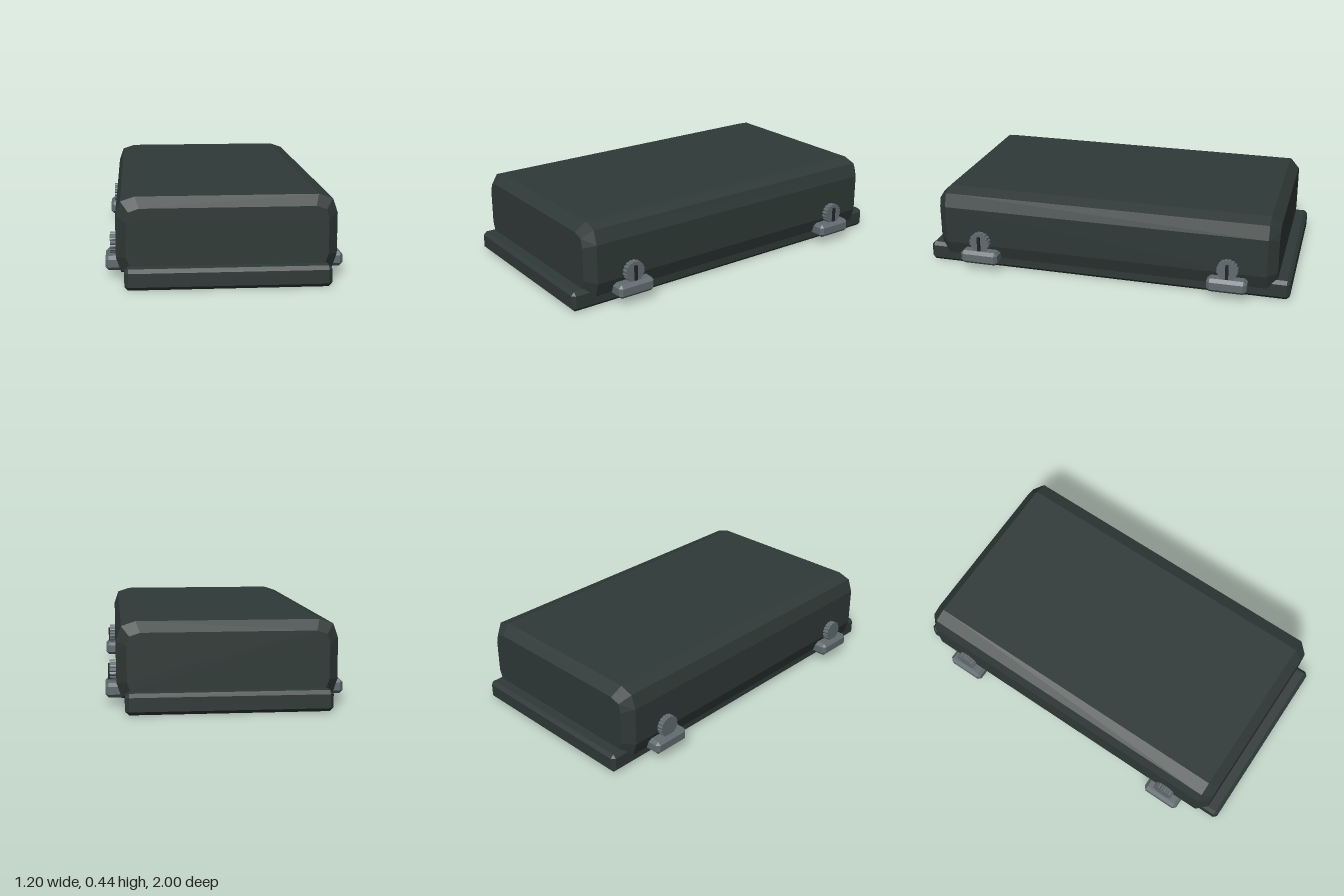
import * as THREE from 'three';
import { ConvexGeometry } from 'three/addons/geometries/ConvexGeometry.js';

const make = (name, color) => new THREE.MeshStandardMaterial({ name, color });

// Box with every edge chamfered by c
function chamferBox(w, h, d, c) {
  const pts = [];
  for (const sx of [-1, 1]) for (const sy of [-1, 1]) for (const sz of [-1, 1]) {
    const x = w / 2, y = h / 2, z = d / 2;
    pts.push(
      new THREE.Vector3(sx * x, sy * (y - c), sz * (z - c)),
      new THREE.Vector3(sx * (x - c), sy * y, sz * (z - c)),
      new THREE.Vector3(sx * (x - c), sy * (y - c), sz * z));
  }
  return new ConvexGeometry(pts);
}

// Housing: a full section along the length, a smaller one at each end
function housingGeometry() {
  const full = [[0.45, 0.44], [0.52, 0.417], [0.545, 0.345], [0.545, 0.14], [0.52, 0.065]];
  const end = [[0.43, 0.39], [0.482, 0.373], [0.495, 0.325], [0.495, 0.15], [0.478, 0.105]];
  const pts = [];
  for (const [section, z] of [[full, 0.88], [end, 0.932]])
    for (const [x, y] of section)
      for (const sx of [-1, 1]) for (const sz of [-1, 1])
        pts.push(new THREE.Vector3(sx * x, y, sz * z));
  return new ConvexGeometry(pts);
}

// Knurled disc facing +x
function knobGeometry() {
  const shape = new THREE.Shape();
  const teeth = 16;
  for (let i = 0; i < teeth * 3; i++) {
    const a = (i / (teeth * 3)) * Math.PI * 2;
    const r = i % 3 === 0 ? 0.051 : 0.056;
    shape[i ? 'lineTo' : 'moveTo'](Math.cos(a) * r, Math.sin(a) * r);
  }
  return new THREE.ExtrudeGeometry(shape, { depth: 0.06, bevelEnabled: false }).rotateY(Math.PI / 2);
}

export function createModel() {
  const model = new THREE.Group();
  model.name = 'case';
  const shell = make('dark green grey', 0x2f3937);
  const metal = make('steel grey', 0x616b6f);
  const dark = make('near black', 0x202627);

  const add = (parent, name, geometry, material, x = 0, y = 0, z = 0) => {
    const mesh = new THREE.Mesh(geometry, material);
    mesh.name = name;
    mesh.position.set(x, y, z);
    parent.add(mesh);
    return mesh;
  };

  add(model, 'housing', housingGeometry(), shell);
  add(model, 'basePlate', chamferBox(1.01, 0.105, 2, 0.018), shell, 0, 0.0525, 0);

  // Four side latches; the left pair has a raised dark bar on its knob
  const block = chamferBox(0.12, 0.074, 0.21, 0.017);
  const knob = knobGeometry();
  const bar = new THREE.BoxGeometry(0.02, 0.08, 0.016);
  for (const side of [-1, 1]) for (const end of [-1, 1]) {
    const latch = new THREE.Group();
    latch.name = (end > 0 ? 'front' : 'back') + (side > 0 ? 'LeftLatch' : 'RightLatch');
    latch.position.z = end * 0.68;
    add(latch, 'latchBlock', block, metal, side * 0.54, 0.082, 0);
    add(latch, 'latchKnob', knob, metal, side > 0 ? 0.517 : -0.577, 0.166, 0);
    if (side > 0) add(latch, 'knobBar', bar, dark, 0.576, 0.162, 0);
    model.add(latch);
  }
  return model;
}
